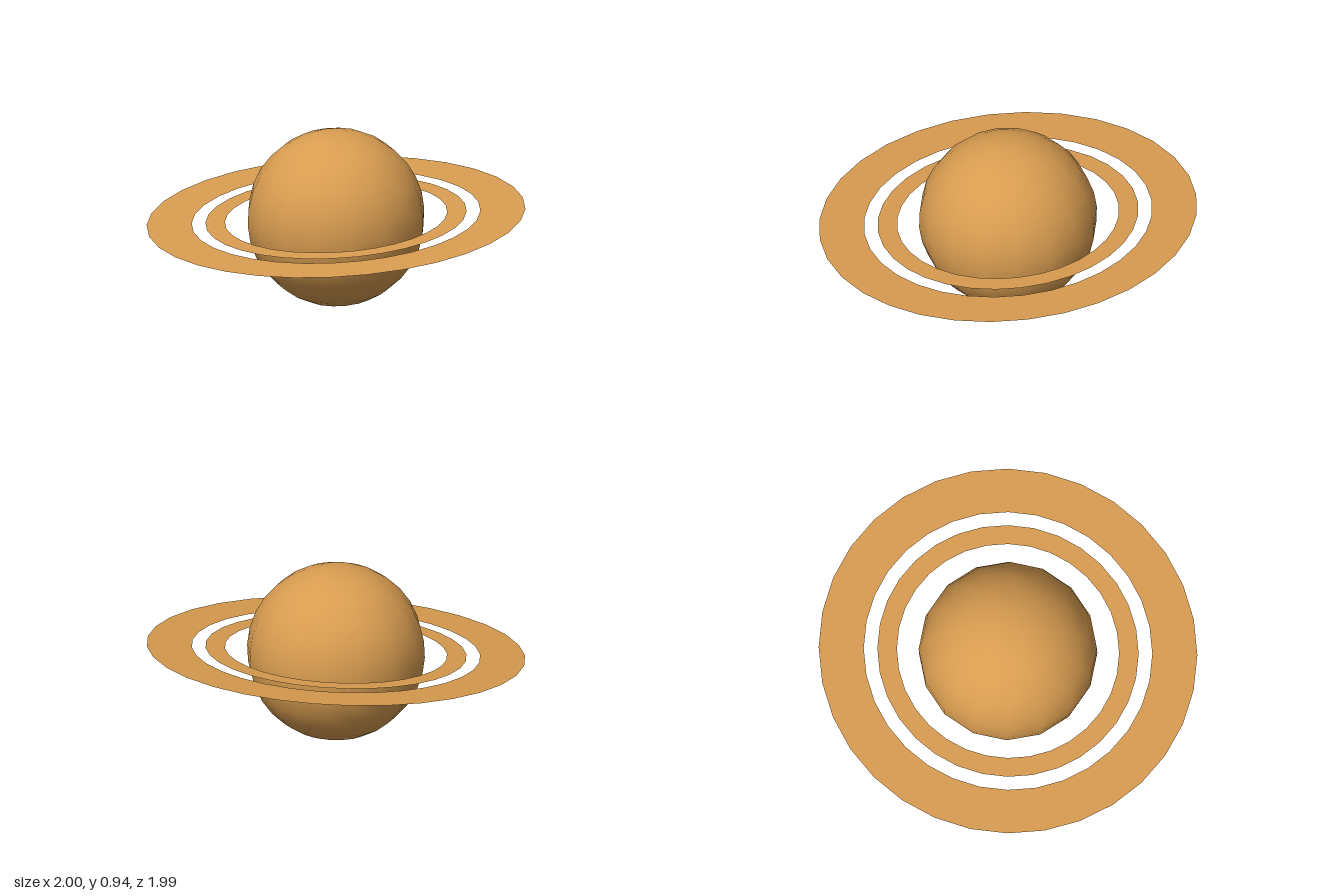
import * as THREE from 'three';

const RADIUS = 0.472;
const TILT = 0.095;

export function createModel() {
  const model = new THREE.Group();
  model.name = 'ringedPlanet';

  // Planet and rings share one axis, leaning slightly towards the front
  const tilted = new THREE.Group();
  tilted.name = 'tiltedAxis';
  tilted.position.y = RADIUS;
  tilted.rotation.x = TILT;
  model.add(tilted);

  const color = 0xd89c50;

  // Planet body: smooth shaded, sixteen-sided
  const planet = new THREE.Mesh(
    new THREE.SphereGeometry(RADIUS, 16, 16),
    new THREE.MeshStandardMaterial({ color })
  );
  planet.name = 'planet';
  tilted.add(planet);

  // Flat rings, visible from above and below
  const ringMaterial = new THREE.MeshStandardMaterial({ color, side: THREE.DoubleSide });
  const addRing = (name, inner, outer) => {
    const ring = new THREE.Mesh(
      new THREE.RingGeometry(inner, outer, 32).rotateX(-Math.PI / 2),
      ringMaterial
    );
    ring.name = name;
    tilted.add(ring);
  };
  addRing('innerRing', 0.587, 0.69);
  addRing('outerRing', 0.762, 1);

  return model;
}
